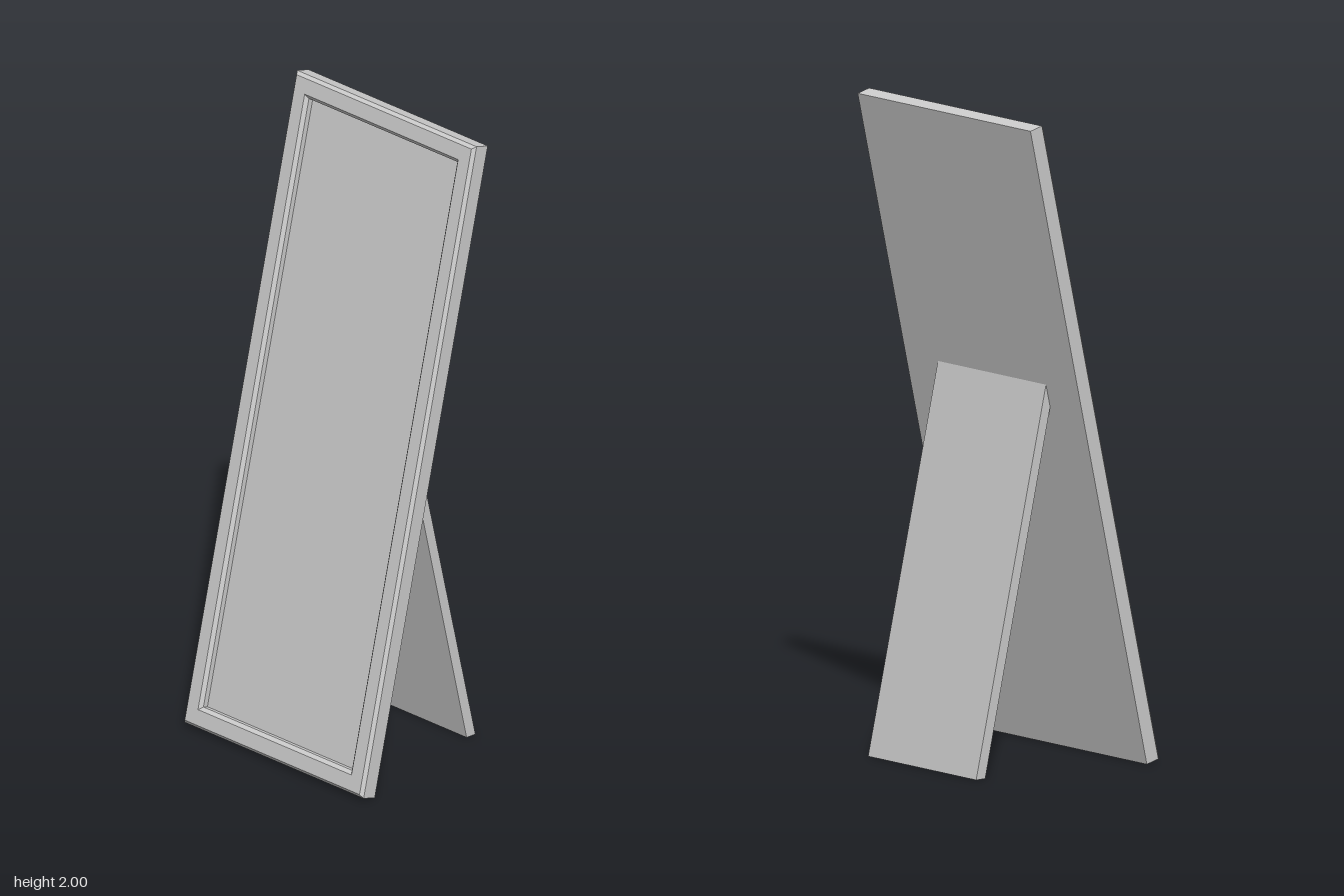
import * as THREE from 'three';

const material = new THREE.MeshStandardMaterial({ color: 0xcccccc, flatShading: true });

const HALF_W = 0.395, LENGTH = 2.042, THICK = 0.0567, CHAMFER = 0.01;
const BORDER = 0.057, PANEL_INSET = 0.068, PANEL_DEPTH = 0.03, TILT = 0.2278;

// Four corners of a rectangle inset from the board's outline, at depth z
function ring([inset, z]) {
  const x = HALF_W - inset, y0 = inset, y1 = LENGTH - inset;
  return [[-x, y0, z], [x, y0, z], [x, y1, z], [-x, y1, z]];
}

// Mitred frame: nested rectangles joined by quads, closed at the back
function frameGeometry() {
  const rings = [
    [0, 0],
    [0, THICK - CHAMFER],
    [CHAMFER, THICK],
    [BORDER, THICK],
    [PANEL_INSET, THICK - CHAMFER],
    [PANEL_INSET, PANEL_DEPTH],
  ].map(ring);
  const positions = [];
  const quad = (a, b, c, d) => positions.push(...a, ...b, ...c, ...a, ...c, ...d);
  for (let i = 0; i < rings.length - 1; i++) {
    for (let k = 0; k < 4; k++) {
      const n = (k + 1) % 4;
      quad(rings[i][k], rings[i][n], rings[i + 1][n], rings[i + 1][k]);
    }
  }
  const [a, b, c, d] = rings[0];
  quad(d, c, b, a);
  const geometry = new THREE.BufferGeometry();
  geometry.setAttribute('position', new THREE.Float32BufferAttribute(positions, 3));
  geometry.computeVertexNormals();
  return geometry;
}

// Rear support: side profile (z, y) extruded across the width
function legGeometry() {
  const width = 0.494;
  const profile = new THREE.Shape([
    [-0.301, 0], [-0.265, 0], [0, 1.135], [-0.021, 1.185],
  ].map(([z, y]) => new THREE.Vector2(z, y)));
  const geometry = new THREE.ExtrudeGeometry(profile, { depth: width, bevelEnabled: false });
  geometry.translate(0, 0, -width / 2);
  geometry.rotateY(-Math.PI / 2);
  return geometry;
}

function addMesh(parent, name, geometry) {
  const mesh = new THREE.Mesh(geometry, material);
  mesh.name = name;
  parent.add(mesh);
  return mesh;
}

export function createModel() {
  const model = new THREE.Group();
  model.name = 'standingMirror';

  // Leaning board, pivoted on its lower back edge
  const board = new THREE.Group();
  board.name = 'board';
  board.position.z = 0.247;
  board.rotation.x = -TILT;
  model.add(board);

  addMesh(board, 'frame', frameGeometry());
  const panel = addMesh(board, 'panel',
    new THREE.PlaneGeometry(2 * (HALF_W - PANEL_INSET), LENGTH - 2 * PANEL_INSET));
  panel.position.set(0, LENGTH / 2, PANEL_DEPTH);

  addMesh(model, 'supportLeg', legGeometry());
  return model;
}
